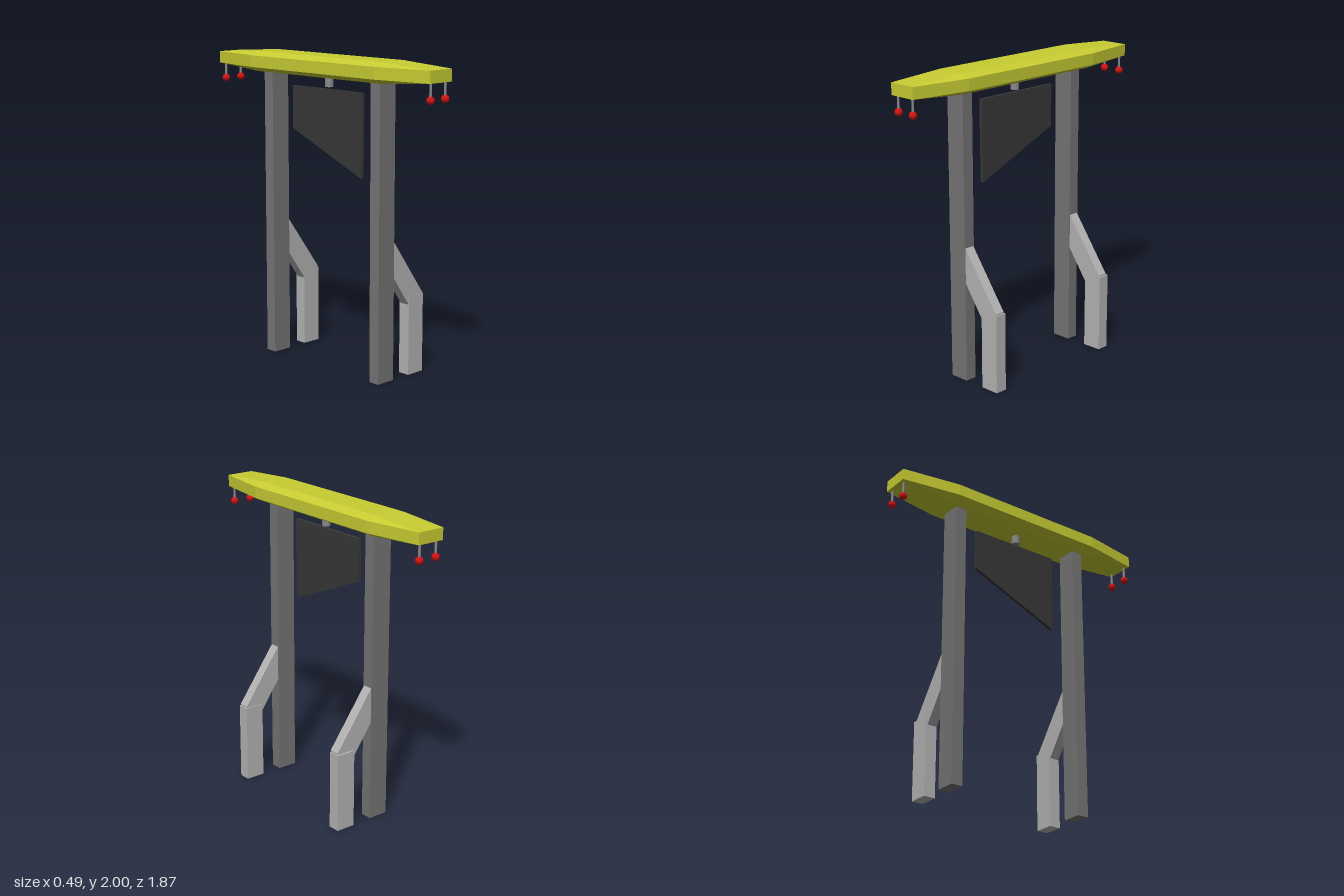
import * as THREE from 'three';
import { ConvexGeometry } from 'three/addons/geometries/ConvexGeometry.js';

const CX = -0.095; // centre line of the beam and posts

const mat = (color, flatShading = true) => new THREE.MeshStandardMaterial({ color, flatShading });

export function createModel() {
  const model = new THREE.Group();
  model.name = 'portalFrame';
  const yellow = mat(0xc8cd32);
  const darkGrey = mat(0x757575);
  const lightGrey = mat(0xb4b4b4);
  const black = mat(0x383838);
  const red = mat(0xcc1414, false);
  const rodGrey = mat(0x8a8a8a, false);

  const add = (name, geometry, material, x = 0, y = 0, z = 0) => {
    const mesh = new THREE.Mesh(geometry, material);
    mesh.name = name;
    mesh.position.set(x, y, z);
    model.add(mesh);
    return mesh;
  };

  // Outline in the x-y plane, extruded from z0 to z1
  const slab = (points, z0, z1) => {
    const shape = new THREE.Shape(points.map(([x, y]) => new THREE.Vector2(x, y)));
    return new THREE.ExtrudeGeometry(shape, { depth: z1 - z0, bevelEnabled: false }).translate(0, 0, z0);
  };

  // Top beam: bevelled middle section tapering to a small rectangle at each end
  const hull = [];
  for (const sx of [-1, 1]) {
    for (const sz of [-1, 1]) {
      for (const y of [1.87, 2]) hull.push(new THREE.Vector3(CX + sx * 0.093, y, sz * 0.55));
      for (const y of [1.9, 1.975]) {
        hull.push(new THREE.Vector3(CX + sx * 0.155, y, sz * 0.55));
        hull.push(new THREE.Vector3(CX + sx * 0.093, y, sz * 0.936));
      }
    }
  }
  add('topBeam', new ConvexGeometry(hull), yellow);

  // Posts with a sloping brace and a foot beside each
  for (const z of [0.48, -0.476]) {
    add('post', new THREE.BoxGeometry(0.134, 1.88, 0.077), darkGrey, -0.098, 0.94, z);
    add('brace', slab([[-0.035, 0.665], [0.11, 0.46], [0.232, 0.5], [0.232, 0.525], [-0.035, 0.895]],
      z - 0.034, z + 0.034), lightGrey);
  }
  for (const z of [0.477, -0.483]) {
    add('foot', new THREE.BoxGeometry(0.13, 0.514, 0.079), lightGrey, 0.175, 0.257, z);
  }

  // Hanging panel with a slanted lower edge (drawn in -z, y and turned side on)
  const panel = slab([[-0.305, 1.26], [0.31, 1.515], [0.31, 1.79], [-0.31, 1.79]], -0.011, 0.011);
  panel.rotateY(Math.PI / 2);
  add('hangingPanel', panel, black, CX);

  // Small block between the beam and the panel
  add('hangerStub', new THREE.CylinderGeometry(0.027, 0.027, 0.055, 20), rodGrey, CX, 1.832, 0.013);

  // Pendant balls on thin rods at both ends of the beam
  for (const z of [-0.912, 0.912]) {
    for (const x of [-0.157, -0.03]) {
      add('pendantRod', new THREE.CylinderGeometry(0.008, 0.008, 0.11, 12), rodGrey, x, 1.855, z);
      add('pendantBall', new THREE.SphereGeometry(0.025, 20, 14), red, x, 1.8, z);
    }
  }
  return model;
}
